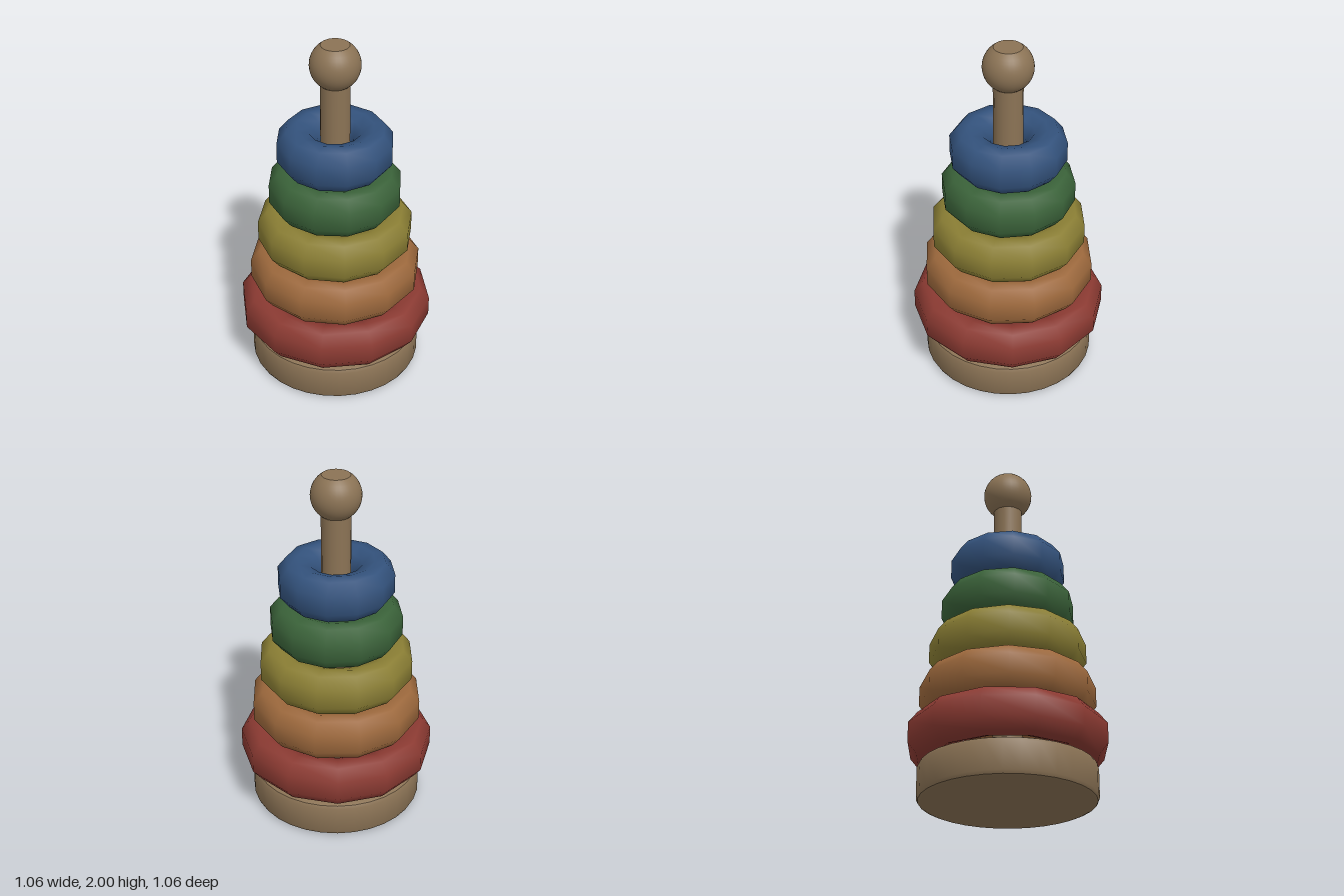
import * as THREE from 'three';
import { toCreasedNormals } from 'three/addons/utils/BufferGeometryUtils.js';

function material(name, color) {
  const m = new THREE.MeshStandardMaterial({ color });
  m.name = name;
  return m;
}

const lathe = (pts, sides) =>
  new THREE.LatheGeometry(pts.map(([x, y]) => new THREE.Vector2(x, y)), sides);

// Chunky ring: rounded octagonal section swept round with few sides
function ringGeometry(radius) {
  const r = radius;
  return lathe([
    [r - 0.11, -0.125], [r - 0.05, -0.118], [r, -0.055], [r, 0.055],
    [r - 0.05, 0.118], [r - 0.11, 0.125], [r - 0.18, 0.1], [r - 0.225, 0.04],
    [r - 0.225, -0.04], [r - 0.18, -0.1], [r - 0.11, -0.125],
  ], 12);
}

export function createModel() {
  const group = new THREE.Group();
  group.name = 'ringStacker';
  const wood = material('wood', 0x8b7355);

  const add = (name, geometry, mat, y = 0, turn = 0) => {
    const mesh = new THREE.Mesh(geometry, mat);
    mesh.name = name;
    mesh.position.y = y;
    mesh.rotation.y = THREE.MathUtils.degToRad(turn);
    group.add(mesh);
    return mesh;
  };

  // Round base with softened rims
  add('base', toCreasedNormals(lathe([
    [0, 0.004], [0.46, 0.004], [0.478, 0.012], [0.487, 0.03],
    [0.487, 0.185], [0.478, 0.203], [0.46, 0.211], [0, 0.211],
  ], 32), 0.6), wood);

  // Pole
  add('pole', toCreasedNormals(new THREE.CylinderGeometry(0.082, 0.082, 1.65, 16), 0.6), wood, 1.0);

  // Ball knob with a flat top
  const knob = [[0, 1.772]];
  const start = -0.95, end = Math.asin(0.115 / 0.139);
  for (let i = 0; i <= 14; i++) {
    const a = start + (end - start) * i / 14;
    knob.push([0.139 * Math.cos(a), 1.885 + 0.139 * Math.sin(a)]);
  }
  knob.push([0, 2]);
  add('knob', toCreasedNormals(lathe(knob, 32), 0.5), wood);

  // Stacked rings, largest at the bottom
  const rings = [
    ['red', 0x8b3a32, 0.55, 0.355, 15],
    ['orange', 0x9c683c, 0.485, 0.612, 0],
    ['yellow', 0x8a7e34, 0.437, 0.87, 0],
    ['green', 0x3a6239, 0.373, 1.128, 5],
    ['blue', 0x33527c, 0.324, 1.385, 5],
  ];
  for (const [color, hex, radius, y, turn] of rings) {
    add(color + 'Ring', ringGeometry(radius), material(color, hex), y, turn);
  }
  return group;
}
